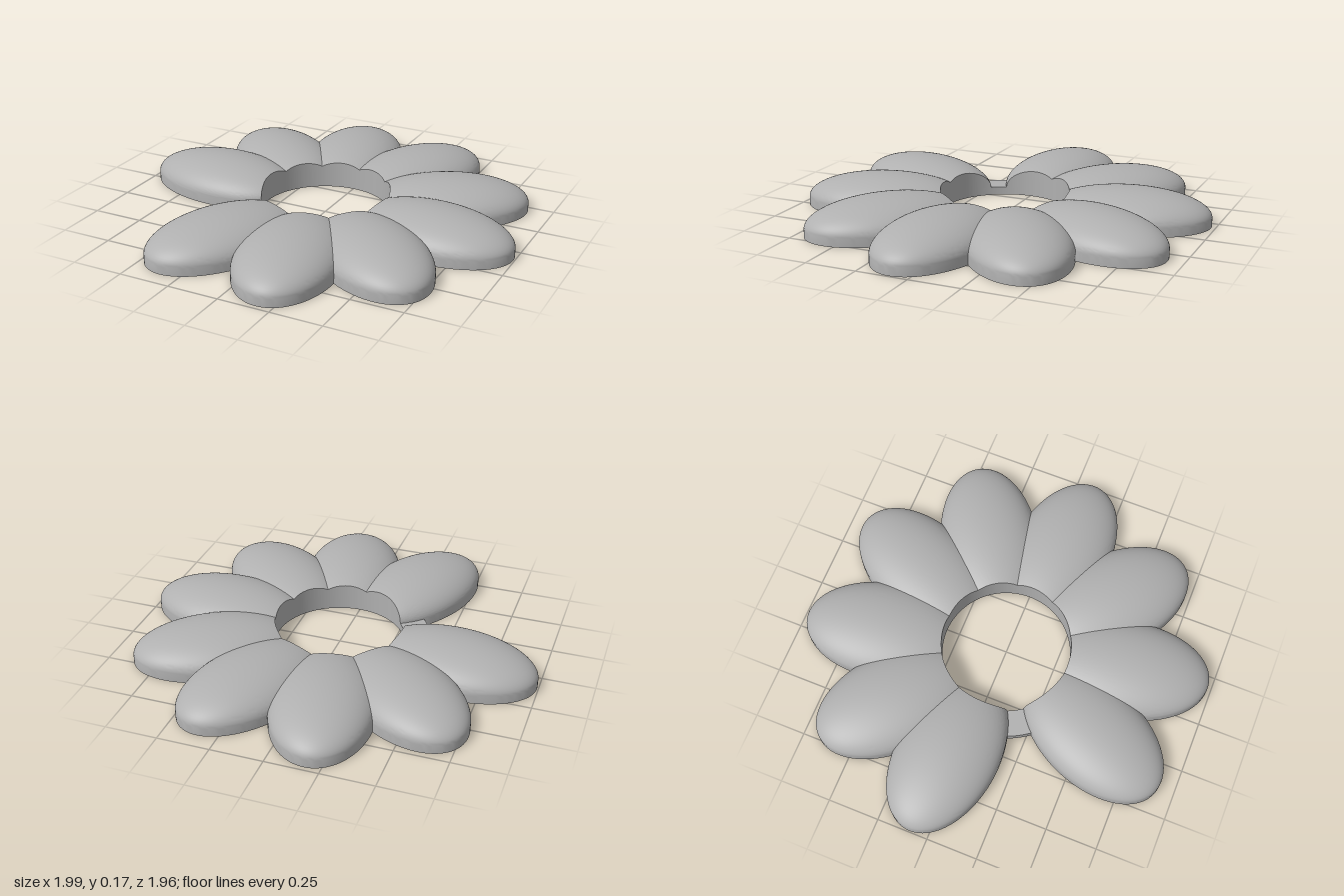
import * as THREE from 'three';
import { toCreasedNormals } from 'three/addons/utils/BufferGeometryUtils.js';

const HOLE = 0.315;                     // radius of the central opening
const DIST = 0.594;                     // petal centre from the axis
const A = 0.405, B = 0.245;             // petal half length and half width
const RIM = 0.04, DOME = 0.126;         // straight edge height, dome height
const START = THREE.MathUtils.degToRad(6.1), STEP = Math.PI / 5;
const TANGENT = Math.atan(B / Math.sqrt(DIST * DIST - A * A)) * 0.9999;
const GAP = 4;                          // slot without a petal

// Where a ray from the axis enters and leaves the petal ellipse
function petalSpan(phi) {
  const c = Math.cos(phi), s = Math.sin(phi);
  const qa = (c / A) ** 2 + (s / B) ** 2;
  const qb = -2 * c * DIST / (A * A);
  const qc = (DIST / A) ** 2 - 1;
  const root = Math.sqrt(Math.max(0, qb * qb - 4 * qa * qc));
  return [Math.max(HOLE, (-qb - root) / (2 * qa)), (-qb + root) / (2 * qa)];
}

function petalHeight(r, phi) {
  const u = (r * Math.cos(phi) - DIST) / A, v = r * Math.sin(phi) / B;
  return RIM + DOME * Math.sqrt(Math.max(0, 1 - u * u - v * v));
}

// Sweep a closed radial cross-section around the axis
function radialLoft(centre, from, to, span, height, sections = 56, steps = 40) {
  const pos = [], idx = [], n = steps + 3;
  for (let i = 0; i <= sections; i++) {
    const k = (1 - Math.cos(Math.PI * i / sections)) / 2;
    const phi = from + (to - from) * k;
    const [r0, r1] = span(phi);
    const add = (r, y) => pos.push(r * Math.cos(centre + phi), y, r * Math.sin(centre + phi));
    add(r0, 0);
    for (let j = 0; j <= steps; j++) {
      const r = r0 + (r1 - r0) * (1 - Math.cos(Math.PI * j / steps)) / 2;
      add(r, height(r, phi));
    }
    add(r1, 0);
  }
  for (let i = 0; i < sections; i++) {
    for (let j = 0; j < n; j++) {
      const a = i * n + j, b = i * n + (j + 1) % n;
      idx.push(a, a + n, b, a + n, b + n, b);
    }
  }
  const geo = new THREE.BufferGeometry();
  geo.setAttribute('position', new THREE.Float32BufferAttribute(pos, 3));
  geo.setIndex(idx);
  return toCreasedNormals(geo, 0.7);
}

export function createModel() {
  const group = new THREE.Group();
  group.name = 'petalRing';
  const grey = new THREE.MeshStandardMaterial({ color: 0xb0b0b0 });
  grey.name = 'grey';

  const addPart = (name, geo) => {
    const mesh = new THREE.Mesh(geo, grey);
    mesh.name = name;
    group.add(mesh);
  };

  // Domed petals meet at seams; those beside the gap keep their full side
  for (let k = 0; k < 10; k++) {
    if (k === GAP) continue;
    const from = k === GAP + 1 ? -TANGENT : -STEP / 2;
    const to = k === GAP - 1 ? TANGENT : STEP / 2;
    addPart('petal' + k, radialLoft(START + k * STEP, from, to, petalSpan, petalHeight));
  }

  // Low base strip closing the ring across the gap
  addPart('baseStrip', radialLoft(START + GAP * STEP, -STEP / 2, STEP / 2,
    () => [HOLE, 0.442], () => RIM, 24, 2));

  return group;
}
